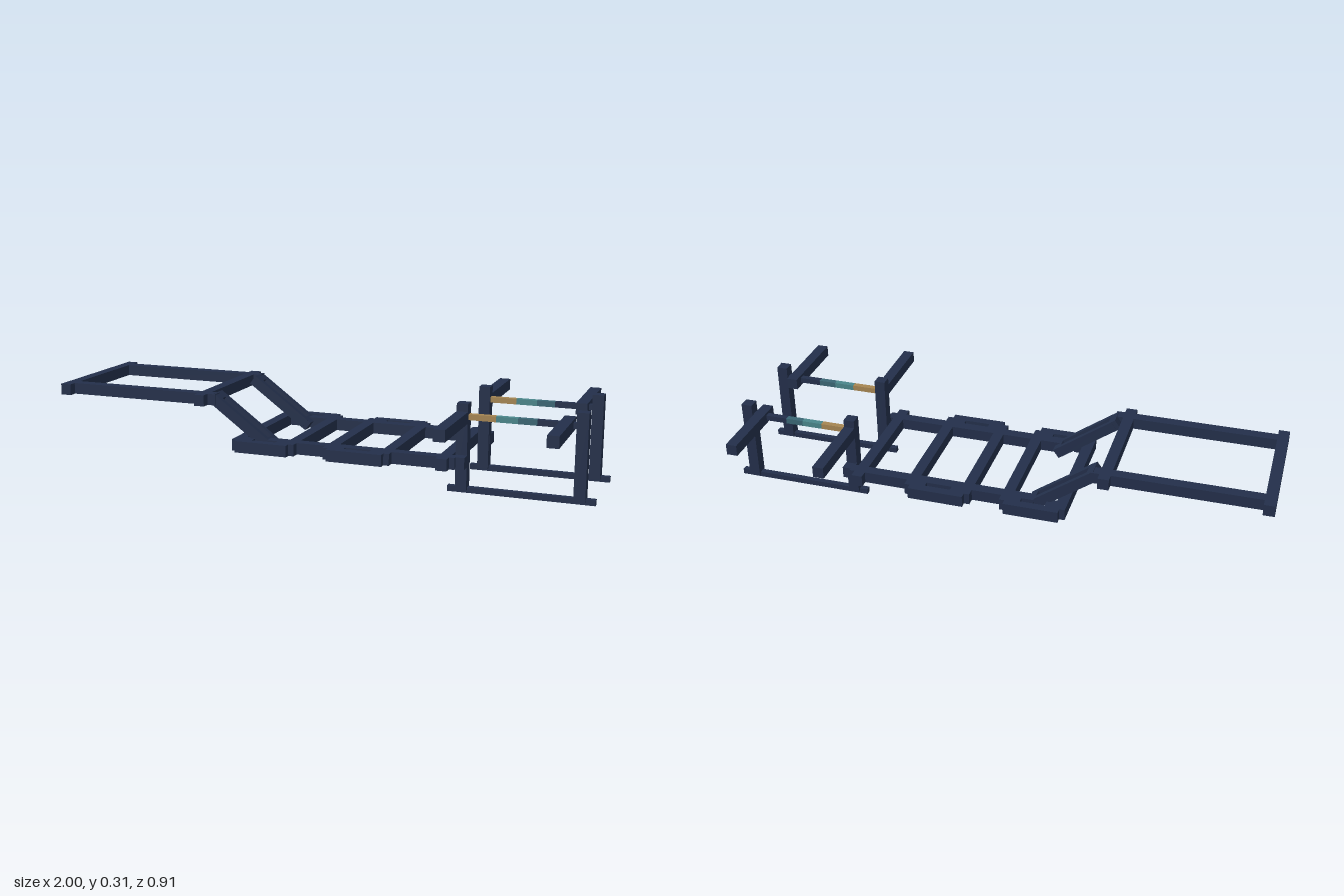
import * as THREE from 'three';

export function createModel() {
  const model = new THREE.Group();
  const mat = (name, color) => {
    const m = new THREE.MeshStandardMaterial({ color });
    m.name = name;
    return m;
  };
  const navy = mat('navy', 0x232f4a);
  const tan = mat('tan', 0xa58552);
  const teal = mat('teal', 0x4a868b);
  const deepTeal = mat('deep teal', 0x3a6674);

  // Box given by its minimum and maximum on each axis
  const bar = (name, [x0, x1], [y0, y1], [z0, z1], material = navy, parent = model) => {
    const mesh = new THREE.Mesh(new THREE.BoxGeometry(x1 - x0, y1 - y0, z1 - z0), material);
    mesh.position.set((x0 + x1) / 2, (y0 + y1) / 2, (z0 + z1) / 2);
    mesh.name = name;
    parent.add(mesh);
    return mesh;
  };
  // The same bar on both sides of the model
  const pair = (name, x, y, [z0, z1], material = navy) => {
    bar(name + 'Front', x, y, [z0, z1], material);
    bar(name + 'Back', x, y, [-z1, -z0], material);
  };

  const upper = [0.246, 0.287];
  const lower = [0.093, 0.135];

  // Raised frame
  pair('upperRail', [-0.98, -0.37], upper, [0.18, 0.22]);
  for (const x of [-0.98, -0.42]) bar('upperCrossbar', [x - 0.02, x + 0.02], upper, [-0.25, 0.25]);

  // Low frame
  pair('lowerRail', [-0.17, 0.53], lower, [0.18, 0.22]);
  for (const x of [-0.27, -0.07, 0.08, 0.285, 0.49]) {
    bar('lowerCrossbar', [x - 0.02, x + 0.02], lower, [-0.25, 0.25]);
  }

  // Side brackets with short inner tabs
  for (const [a, b] of [[-0.27, -0.07], [0.08, 0.285]]) {
    pair('sideBracket', [a, b], lower, [0.24, 0.273]);
    pair('bracketTab', [a + 0.02, a + 0.055], lower, [0.2, 0.25]);
    pair('bracketTab', [b - 0.055, b - 0.02], lower, [0.215, 0.25]);
  }

  // Sloping ladder links between the two frames
  const start = new THREE.Vector2(-0.375, 0.264);
  const end = new THREE.Vector2(-0.17, 0.115);
  const half = start.distanceTo(end) / 2;
  for (const s of [1, -1]) {
    const link = new THREE.Group();
    link.name = 'slopingLink';
    link.position.set((start.x + end.x) / 2, (start.y + end.y) / 2, s * 0.18);
    link.rotation.z = Math.atan2(end.y - start.y, end.x - start.x);
    for (const z of [-0.025, 0.025]) {
      bar('linkBar', [-half, half], [-0.019, 0.019], [z - 0.01, z + 0.01], navy, link);
    }
    for (const x of [-half, half]) {
      bar('linkEnd', [x - 0.016, x + 0.016], [-0.019, 0.019], [-0.034, 0.034], navy, link);
    }
    model.add(link);
  }

  // Upright stands: feet, posts, arms and joining blocks
  pair('foot', [0.49, 1], [0, 0.02], [0.142, 0.163]);
  pair('innerPost', [0.52, 0.56], [0.01, 0.315], [0.132, 0.173]);
  pair('outerPost', [0.927, 0.967], [0.01, 0.315], [0.132, 0.173]);
  pair('postBlock', [0.52, 0.561], lower, [0.14, 0.21]);
  pair('innerArm', [0.52, 0.56], upper, [0.14, 0.455]);
  pair('outerArm', [0.875, 0.915], upper, [0.105, 0.405]);

  // Banded rods between the posts
  const bands = [[0.55, 0.655, tan], [0.655, 0.73, teal], [0.73, 0.795, deepTeal], [0.795, 0.93, navy]];
  for (const [a, b, m] of bands) pair('rodBand', [a, b], [0.257, 0.277], [0.142, 0.163], m);

  return model;
}
